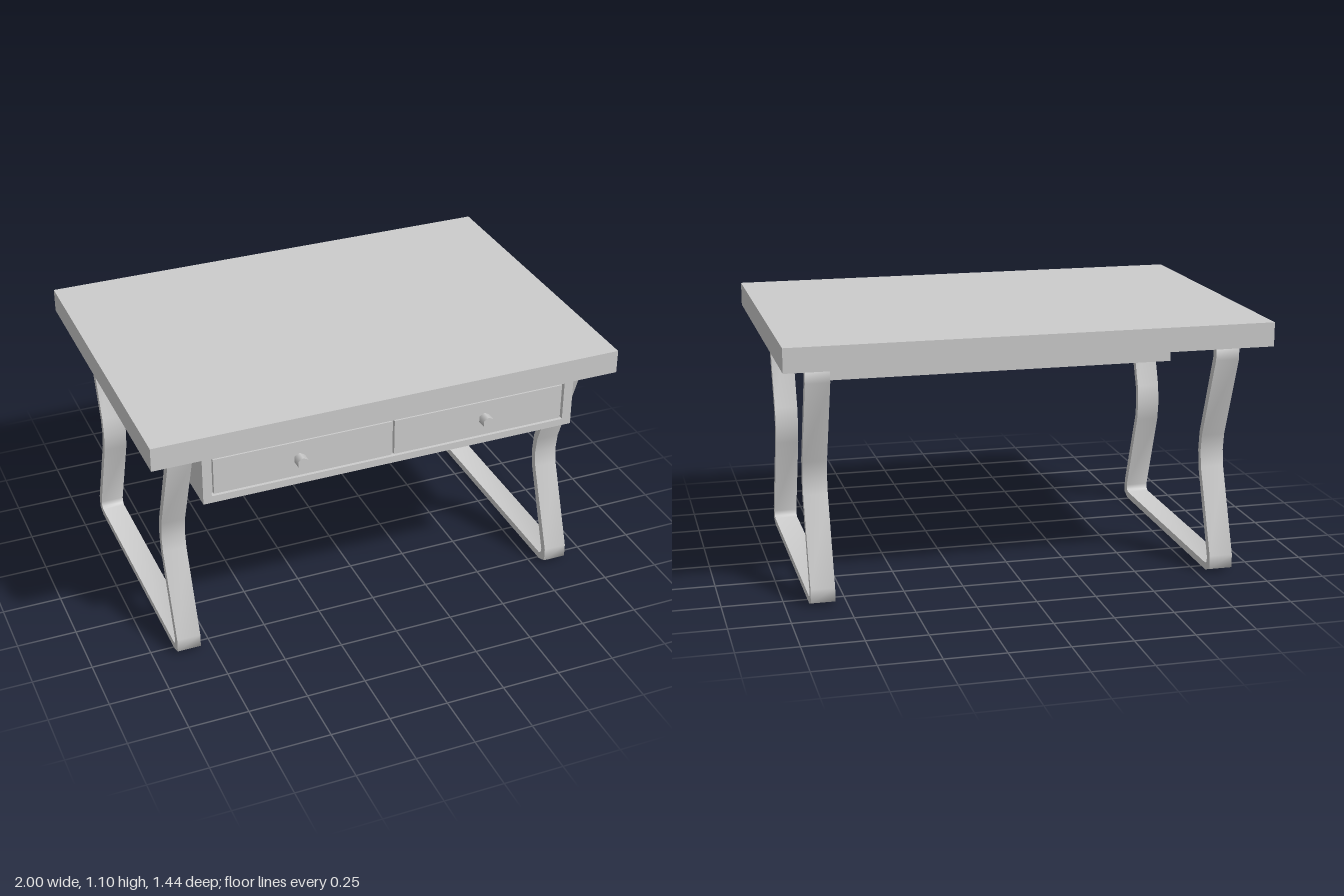
import * as THREE from 'three';
import { toCreasedNormals } from 'three/addons/utils/BufferGeometryUtils.js';

const material = new THREE.MeshStandardMaterial({ color: 0xcccccc });

function add(parent, name, geometry, x = 0, y = 0, z = 0) {
  const mesh = new THREE.Mesh(geometry, material);
  mesh.name = name;
  mesh.position.set(x, y, z);
  parent.add(mesh);
  return mesh;
}

// Box given by its minimum and maximum corners
function addBox(parent, name, [x0, y0, z0], [x1, y1, z1]) {
  return add(parent, name, new THREE.BoxGeometry(x1 - x0, y1 - y0, z1 - z0),
    (x0 + x1) / 2, (y0 + y1) / 2, (z0 + z1) / 2);
}

// Closed outline from one quarter (bottom middle to waist), mirrored both ways about y = 0.5
function outline(quarter) {
  const side = [...quarter, ...quarter.slice(0, -1).reverse().map(([u, y]) => [u, 1 - y])];
  const other = [...side].reverse().map(([u, y]) => [-u, y]);
  return [...side, ...other].map(([u, y]) => new THREE.Vector2(u, y));
}

function rectangle(path, x0, y0, x1, y1) {
  return path.moveTo(x0, y0).lineTo(x1, y0).lineTo(x1, y1).lineTo(x0, y1).closePath();
}

// Bent strap loop with a pinched waist
function legGeometry(width) {
  const shape = new THREE.Shape(outline(
    [[0.53, 0], [0.577, 0.018], [0.577, 0.075], [0.441, 0.43], [0.431, 0.5]]));
  shape.holes.push(new THREE.Path(outline(
    [[0.527, 0.03], [0.541, 0.038], [0.546, 0.06], [0.412, 0.42], [0.402, 0.5]])));
  const geometry = new THREE.ExtrudeGeometry(shape, { depth: width, bevelEnabled: false });
  geometry.translate(0, 0, -width / 2).rotateY(-Math.PI / 2);
  return toCreasedNormals(geometry, 1.3);
}

export function createModel() {
  const model = new THREE.Group();
  model.name = 'desk';

  addBox(model, 'tableTop', [-1, 1, -0.72], [1, 1.1, 0.68]);

  // Drawer case: solid body with an open face frame in front
  const front = 0.68, inset = 0.02;
  const drawerCase = new THREE.Group();
  drawerCase.name = 'drawerCase';
  model.add(drawerCase);
  addBox(drawerCase, 'caseBody', [-0.8, 0.8, -0.045], [0.8, 1, front - inset]);
  const frame = rectangle(new THREE.Shape(), -0.8, 0.8, 0.8, 1);
  frame.holes.push(rectangle(new THREE.Path(), -0.765, 0.83, 0.76, 0.998));
  add(drawerCase, 'faceFrame',
    new THREE.ExtrudeGeometry(frame, { depth: inset, bevelEnabled: false }), 0, 0, front - inset);

  // Two drawers with six-sided knobs
  const knob = new THREE.CylinderGeometry(0.025, 0.025, 0.05, 6).rotateX(Math.PI / 2);
  for (const [side, x0, x1] of [['right', -0.755, -0.007], ['left', 0.004, 0.75]]) {
    addBox(drawerCase, side + 'DrawerFront', [x0, 0.838, front - inset], [x1, 0.992, front - 0.002]);
    add(drawerCase, side + 'Knob', knob, side === 'left' ? 0.4 : -0.4, 0.915, 0.695);
  }

  // Leg loops
  const leg = legGeometry(0.1);
  add(model, 'leftLeg', leg, 0.85, 0, -0.02);
  add(model, 'rightLeg', leg, -0.85, 0, -0.02);

  return model;
}
